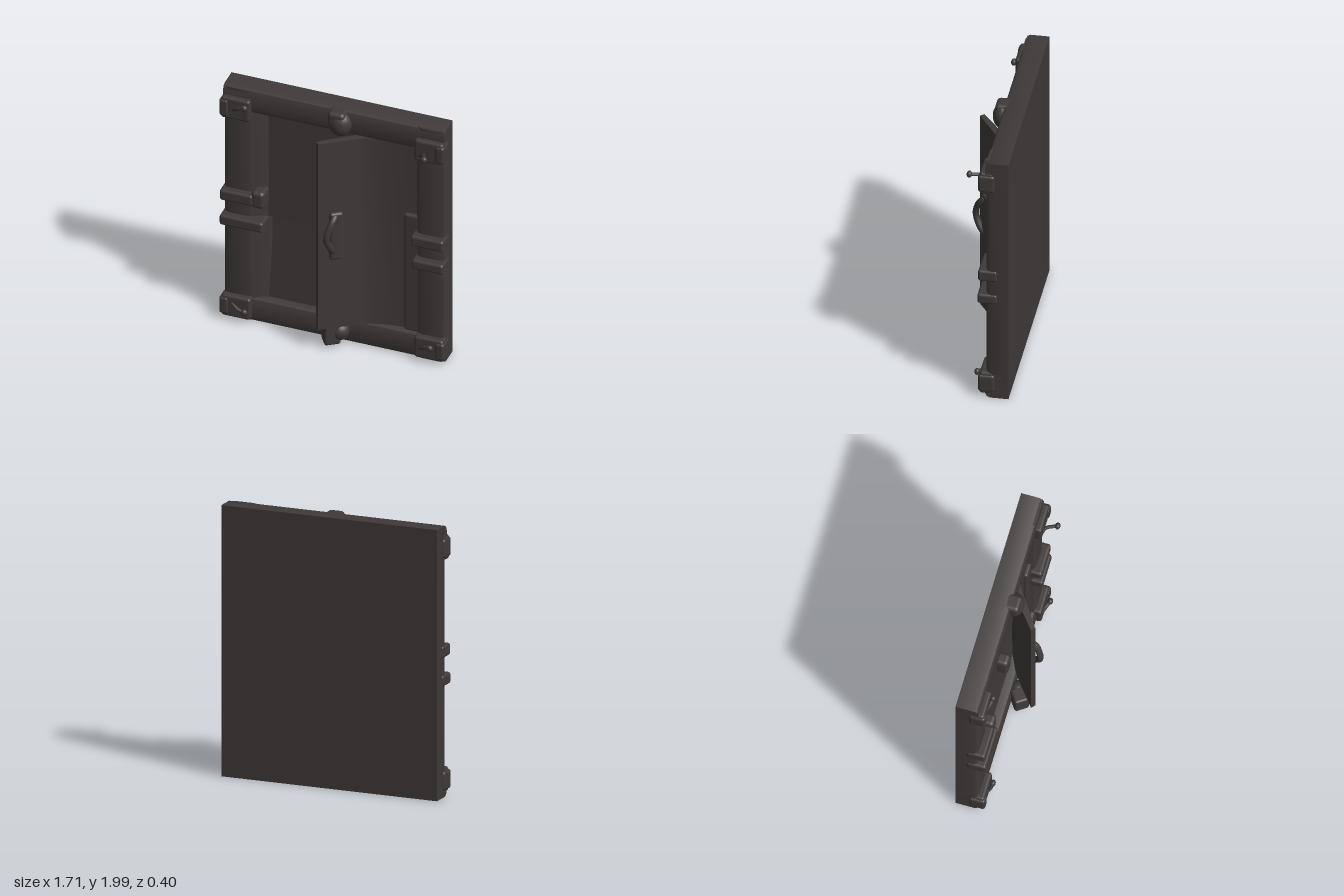
import * as THREE from 'three';
import { toCreasedNormals, mergeVertices } from 'three/addons/utils/BufferGeometryUtils.js';
import { RoundedBoxGeometry } from 'three/addons/geometries/RoundedBoxGeometry.js';

export function createModel() {
  const model = new THREE.Group();
  model.name = 'hatch';
  const iron = new THREE.MeshStandardMaterial({ color: 0x403a3a });
  iron.name = 'dark iron';

  const add = (name, geometry, x = 0, y = 0, z = 0, parent = model) => {
    const mesh = new THREE.Mesh(geometry, iron);
    mesh.name = name;
    mesh.position.set(x, y, z);
    parent.add(mesh);
    return mesh;
  };

  // Upright prism from a plan given as [x, z] points
  const prism = (plan, height, crease = 0.7) => {
    const shape = new THREE.Shape(plan.map(([x, z]) => new THREE.Vector2(x, -z)));
    const g = new THREE.ExtrudeGeometry(shape, { depth: height, bevelEnabled: false });
    g.rotateX(-Math.PI / 2);
    return toCreasedNormals(g, crease);
  };

  // Frame bar with a softly rounded front, centred on its width
  const bar = (width, length, front) => {
    const w = width / 2;
    return prism([
      [-w, -0.2], [w, -0.2], [w, front - 0.035], [w - 0.012, front - 0.012],
      [w - 0.045, front], [-w + 0.045, front], [-w + 0.012, front - 0.012], [-w, front - 0.035],
    ], length);
  };

  // Box given by its limits, with rounded edges
  const block = (name, x0, x1, y0, y1, z0, z1, r = 0.02) =>
    add(name, new RoundedBoxGeometry(x1 - x0, y1 - y0, z1 - z0, 3, r),
      (x0 + x1) / 2, (y0 + y1) / 2, (z0 + z1) / 2);

  // Frame
  add('leftPost', bar(0.22, 1.98, -0.035), 0.73, 0.01);
  add('rightPost', bar(0.23, 1.97, -0.035), -0.725, 0.015);
  const rail = bar(0.2, 1.68, -0.03).rotateZ(-Math.PI / 2);
  add('topRail', rail, -0.84, 1.895);
  add('bottomRail', rail, -0.84, 0.105);

  // Back wall and the two recessed panels
  add('backWall', new THREE.BoxGeometry(1.66, 1.96, 0.06), 0, 1, -0.169);
  add('upperPanel', new THREE.BoxGeometry(1.26, 0.92, 0.05), 0, 1.36, -0.125);
  const lower = add('lowerPanel', new THREE.BoxGeometry(1.26, 0.74, 0.05), 0, 0.54, -0.14);
  lower.rotation.x = -0.04;
  add('innerSlope', prism([[-0.62, -0.15], [-0.5, -0.12], [-0.52, -0.1], [-0.62, -0.05]], 1.62), 0, 0.19);

  // Door leaf standing ajar, bending flat towards its hinge side
  add('door', prism([
    [-0.07, 0.135], [-0.045, 0.16], [0.08, 0.075], [0.2, -0.01], [0.27, -0.045],
    [0.4, -0.075], [0.56, -0.09], [0.62, -0.09], [0.62, -0.13],
    [0.3, -0.11], [0.16, -0.045], [0.06, 0.03],
  ], 1.6, 0.5), 0, 0.2);
  block('doorHingeLedge', 0.52, 0.64, 0.2, 1.2, -0.14, -0.06);

  // Door handle
  const grip = new THREE.CatmullRomCurve3([
    [0.035, 0.83, 0.08], [0.045, 0.9, 0.135], [0.025, 1.0, 0.175],
    [0.035, 1.07, 0.17], [0.06, 1.15, 0.13], [0.06, 1.18, 0.07],
  ].map((p) => new THREE.Vector3(...p)));
  add('handleGrip', new THREE.TubeGeometry(grip, 24, 0.024, 10));
  const plate = add('handlePlate', new RoundedBoxGeometry(0.1, 0.4, 0.05, 3, 0.02), 0.065, 1.0, 0.09);
  plate.rotation.y = 0.6;
  block('latch', -0.13, -0.03, 0.91, 1.1, -0.12, -0.02, 0.03);

  // Lumpy boss made from a squashed ball
  const boss = (name, x, y, z, sx, sy, sz) => {
    const mesh = add(name, mergeVertices(new THREE.SphereGeometry(1, 20, 14)), x, y, z);
    mesh.scale.set(sx, sy, sz);
    return mesh;
  };
  boss('topBoss', 0.055, 1.89, -0.025, 0.085, 0.1, 0.075);
  block('topBossCap', -0.03, 0.1, 1.87, 1.995, -0.1, 0.03, 0.03);
  boss('bottomBoss', 0.06, 0.125, 0, 0.07, 0.075, 0.07);
  const foot = add('bottomPivot', new RoundedBoxGeometry(0.12, 0.17, 0.11, 3, 0.02), 0.005, 0.115, 0.03);
  foot.rotation.y = 0.6;

  // Corner plates, each with a bent pin
  const corners = [
    ['upperRight', -0.735, 1.83, -0.66, 1.87, 0.09, 0.025],
    ['upperLeft', 0.735, 1.82, 0.735, 1.82, 0.07, 0.1],
    ['lowerRight', -0.73, 0.125, -0.66, 0.11, 0.1, 0.025],
    ['lowerLeft', 0.735, 0.125, 0.755, 0.16, 0.09, 0.04],
  ];
  for (const [name, x, y, px, py, reach, pz] of corners) {
    block(name + 'CornerPlate', x - 0.11, x + 0.11, y - 0.09, y + 0.09, -0.09, 0.01, 0.02);
    const outer = Math.sign(x) * 0.82;
    block(name + 'CornerWrap', outer - 0.035, outer + 0.035, y - 0.07, y + 0.07, -0.1, 0.02);
    const flip = name === 'lowerRight' ? -1 : 1;
    const pin = new THREE.CatmullRomCurve3([
      new THREE.Vector3(px - reach, py - flip * 0.045, 0),
      new THREE.Vector3(px - reach / 2, py - flip * 0.015, 0.02),
      new THREE.Vector3(px, py, pz),
    ]);
    add(name + 'Pin', new THREE.TubeGeometry(pin, 12, 0.013, 8));
    boss(name + 'PinHead', px, py, pz, 0.025, 0.025, 0.02);
  }

  // Straps wrapped around the posts
  block('rightUpperStrap', -0.85, -0.6, 1.03, 1.12, -0.12, 0.02);
  block('rightStrapKnob', -0.615, -0.515, 1.015, 1.155, -0.12, 0.015, 0.03);
  block('rightLowerStrap', -0.85, -0.52, 0.82, 0.905, -0.12, 0.025);
  block('leftUpperStrap', 0.6, 0.85, 0.99, 1.08, -0.12, 0.02);
  block('leftLowerStrap', 0.61, 0.85, 0.8, 0.88, -0.12, 0.025);

  return model;
}
